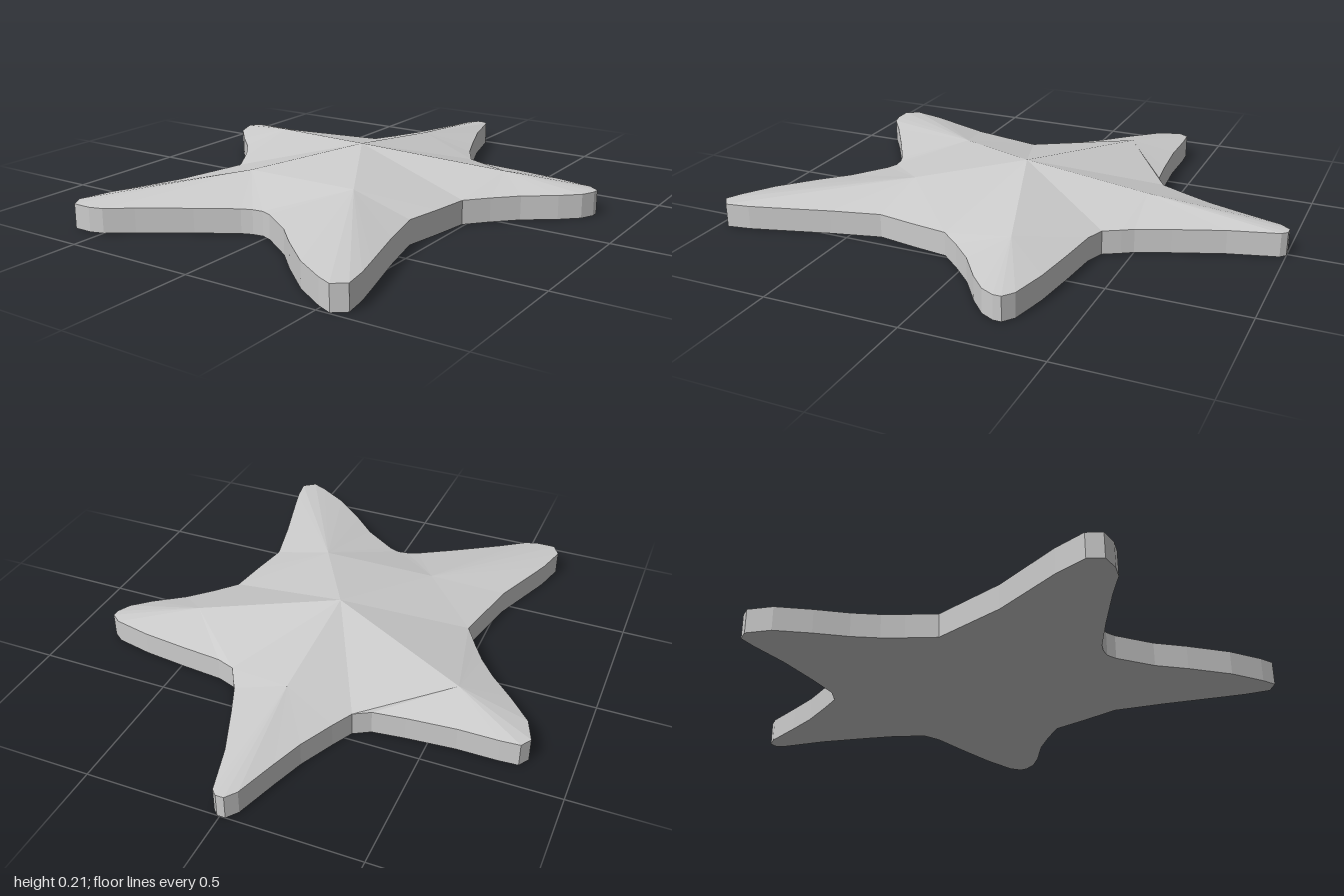
import * as THREE from 'three';

const RIM = 0.09;
const APEX = [0, 0.206, 0];

// Each arm: a point on its ridge [x, y, z], and its rim [x, z, ...] clockwise from valley to valley.
const ARMS = [
  { name: 'backArm', ridge: [0, 0.148, -0.48],
    rim: [-0.24, -0.47, -0.2, -0.55, -0.14, -0.68, -0.1, -0.8, -0.05, -0.96, -0.02, -1, 0.01, -1, 0.03, -0.98,
      0.08, -0.8, 0.15, -0.62, 0.2, -0.5, 0.225, -0.46] },
  { name: 'leftArm', ridge: [0.52, 0.138, -0.17],
    rim: [0.26, -0.4, 0.33, -0.375, 0.49, -0.36, 0.66, -0.34, 0.8, -0.31, 0.84, -0.28, 0.84, -0.25, 0.815, -0.2,
      0.75, -0.14, 0.64, -0.06, 0.56, 0.02] },
  { name: 'frontLeftArm', ridge: [0.21, 0.152, 0.37],
    rim: [0.49, 0.1, 0.47, 0.24, 0.445, 0.385, 0.49, 0.57, 0.55, 0.78, 0.575, 0.87, 0.59, 0.96, 0.545, 0.995,
      0.49, 0.97, 0.37, 0.895, 0.24, 0.78, 0.15, 0.69, 0.02, 0.6] },
  { name: 'frontRightArm', ridge: [-0.24, 0.152, 0.37], flatValley: true,
    rim: [-0.02, 0.585, -0.06, 0.59, -0.1, 0.605, -0.24, 0.69, -0.41, 0.8, -0.5, 0.865, -0.55, 0.88, -0.62, 0.88,
      -0.65, 0.83, -0.62, 0.71, -0.57, 0.58, -0.52, 0.45, -0.49, 0.31] },
  { name: 'rightArm', ridge: [-0.55, 0.138, -0.24],
    rim: [-0.46, 0.17, -0.52, 0.07, -0.565, 0, -0.63, -0.08, -0.72, -0.17, -0.81, -0.27, -0.845, -0.36, -0.82, -0.4,
      -0.75, -0.405, -0.6, -0.405, -0.42, -0.42, -0.3, -0.435] },
];

function facetMesh(name, triangles, material) {
  const geometry = new THREE.BufferGeometry();
  geometry.setAttribute('position', new THREE.Float32BufferAttribute(triangles.flat(2), 3));
  geometry.computeVertexNormals();
  const mesh = new THREE.Mesh(geometry, material);
  mesh.name = name;
  return mesh;
}

export function createModel() {
  const group = new THREE.Group();
  group.name = 'starfish';
  const material = new THREE.MeshStandardMaterial({ color: 0xcccccc, flatShading: true });

  const rims = ARMS.map(({ rim }) => {
    const points = [];
    for (let i = 0; i < rim.length; i += 2) points.push([rim[i], RIM, rim[i + 1]]);
    return points;
  });
  const floor = ([x, , z]) => [x, 0, z];

  // Arms: facets fanned from the ridge, with the wall below the rim
  const centre = [];
  ARMS.forEach(({ name, ridge, flatValley }, k) => {
    const next = (k + 1) % ARMS.length;
    const points = [...rims[k], rims[next][0]];
    const top = [], wall = [];
    for (let i = 0; i < points.length - 1; i++) {
      const a = points[i], b = points[i + 1];
      top.push([ridge, b, a]);
      wall.push([a, b, floor(b)], [a, floor(b), floor(a)]);
    }
    const arm = new THREE.Group();
    arm.name = name;
    arm.add(facetMesh('armTop', top, material), facetMesh('armWall', wall, material));
    group.add(arm);

    // Centre facets either side of the valley that starts this arm
    const previous = ARMS[(k + ARMS.length - 1) % ARMS.length].ridge;
    const valley = points[0];
    if (flatValley) centre.push([APEX, ridge, previous], [previous, ridge, valley]);
    else centre.push([APEX, ridge, valley], [APEX, valley, previous]);
  });
  group.add(facetMesh('centreTop', centre, material));

  // Flat underside
  const outline = rims.flat().map(floor);
  const contour = outline.map(([x, , z]) => new THREE.Vector2(x, z));
  const under = THREE.ShapeUtils.triangulateShape(contour, []).map((face) => {
    const [a, b, c] = face.map((i) => outline[i]);
    const turn = (b[0] - a[0]) * (c[2] - a[2]) - (b[2] - a[2]) * (c[0] - a[0]);
    return turn > 0 ? [a, b, c] : [a, c, b];
  });
  group.add(facetMesh('underside', under, material));

  return group;
}
